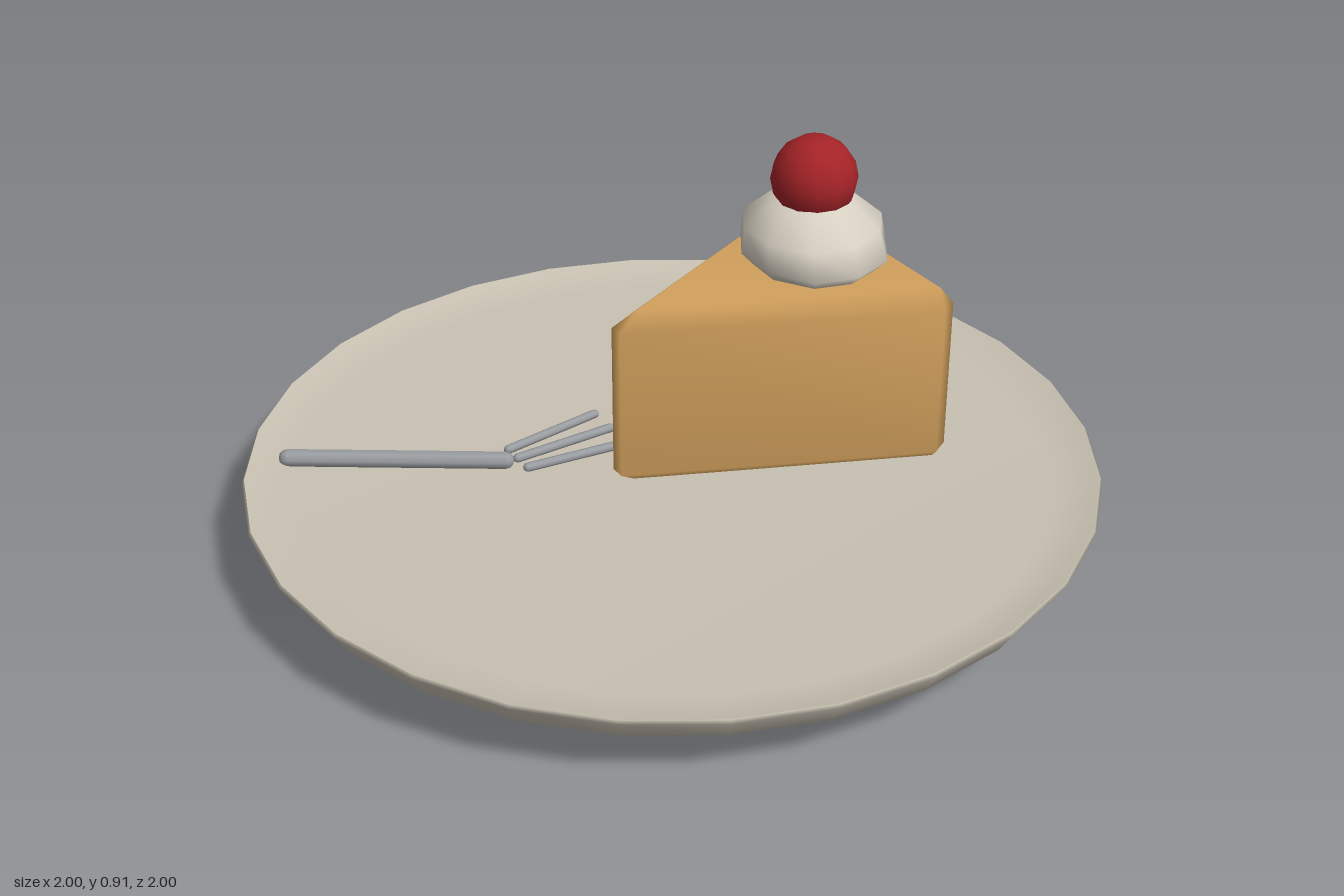
import * as THREE from 'three';
import { mergeVertices } from 'three/addons/utils/BufferGeometryUtils.js';
import { ConvexGeometry } from 'three/addons/geometries/ConvexGeometry.js';

const material = (name, color) => {
  const m = new THREE.MeshStandardMaterial({ color });
  m.name = name;
  return m;
};

const lathe = (points, segments) =>
  new THREE.LatheGeometry(points.map(([r, y]) => new THREE.Vector2(r, y)), segments);

// Share vertices so that normals blend across the edges
function smooth(geometry) {
  geometry.deleteAttribute('uv');
  geometry.deleteAttribute('normal');
  const merged = mergeVertices(geometry, 1e-4);
  merged.computeVertexNormals();
  return merged;
}

export function createModel() {
  const model = new THREE.Group();
  model.name = 'cakeOnPlate';
  const china = material('china', 0xc8c1b2);
  const sponge = material('sponge', 0xcf9e5b);
  const cream = material('cream', 0xd6cfc2);
  const red = material('cherryRed', 0xa42327);
  const steel = material('steel', 0x9a9da1);

  const add = (parent, name, geometry, mat, x = 0, y = 0, z = 0) => {
    const mesh = new THREE.Mesh(geometry, mat);
    mesh.name = name;
    mesh.position.set(x, y, z);
    parent.add(mesh);
    return mesh;
  };

  // Plate: underside and shallow dish meet in a crisp rim
  const plate = new THREE.Group();
  plate.name = 'plate';
  model.add(plate);
  add(plate, 'plateUnderside', lathe([[0, 0], [0.53, 0.005], [0.94, 0.115], [0.965, 0.13], [1, 0.185], [0.995, 0.193]], 28), china);
  add(plate, 'plateTop', lathe([[0.995, 0.193], [0.975, 0.188], [0.88, 0.165], [0, 0.163]], 28), china);

  // Cake wedge: blunt-cornered outline with chamfered top and bottom
  const points = [];
  for (const s of [-1, 1]) {
    for (const y of [0.19, 0.565])
      for (const [x, z] of [[-0.15, 0.018], [0.53, 0.325], [0.573, 0.3]])
        points.push(new THREE.Vector3(x, y, s * z));
    for (const y of [0.15, 0.605])
      for (const [x, z] of [[-0.09, 0.001], [0.545, 0.285]])
        points.push(new THREE.Vector3(x, y, s * z));
  }
  add(model, 'cakeSlice', smooth(new ConvexGeometry(points)), sponge);

  // Whipped cream: dollop pulled out at the base towards the front
  const dollop = lathe([[0, 0], [0.14, 0], [0.173, 0.035], [0.165, 0.1], [0.1, 0.158], [0, 0.185]], 10);
  const p = dollop.attributes.position;
  for (let i = 0; i < p.count; i++) {
    const x = p.getX(i), y = p.getY(i), z = p.getZ(i);
    const a = Math.atan2(z, x);
    const pull = y < 0.05 && z > 0.05 ? 1.14 : 1.03;
    const ripple = 1 + 0.025 * Math.sin(3 * a + 12 * y);
    p.setXYZ(i, x * ripple, y + 0.06 * x * y, z * pull * ripple);
  }
  add(model, 'whippedCream', smooth(dollop), cream, 0.385, 0.6, 0);

  // Cherry
  add(model, 'cherry', new THREE.SphereGeometry(0.102, 12, 8), red, 0.387, 0.81, 0);

  // Fork: round handle and three spread tines lying on the plate
  const fork = new THREE.Group();
  fork.name = 'fork';
  model.add(fork);
  const rod = (name, [x1, z1], [x2, z2], radius, y) => {
    const a = new THREE.Vector3(x1, y, z1), b = new THREE.Vector3(x2, y, z2);
    const mesh = add(fork, name, new THREE.CapsuleGeometry(radius, a.distanceTo(b), 3, 8), steel);
    mesh.position.copy(a).add(b).multiplyScalar(0.5);
    mesh.quaternion.setFromUnitVectors(new THREE.Vector3(0, 1, 0), b.sub(a).normalize());
  };
  rod('forkHandle', [-0.765, -0.48], [-0.34, -0.197], 0.022, 0.183);
  rod('forkTineBack', [-0.305, -0.243], [-0.05, -0.274], 0.011, 0.177);
  rod('forkTineMiddle', [-0.305, -0.198], [-0.05, -0.198], 0.011, 0.177);
  rod('forkTineFront', [-0.305, -0.15], [-0.05, -0.118], 0.011, 0.177);

  return model;
}
